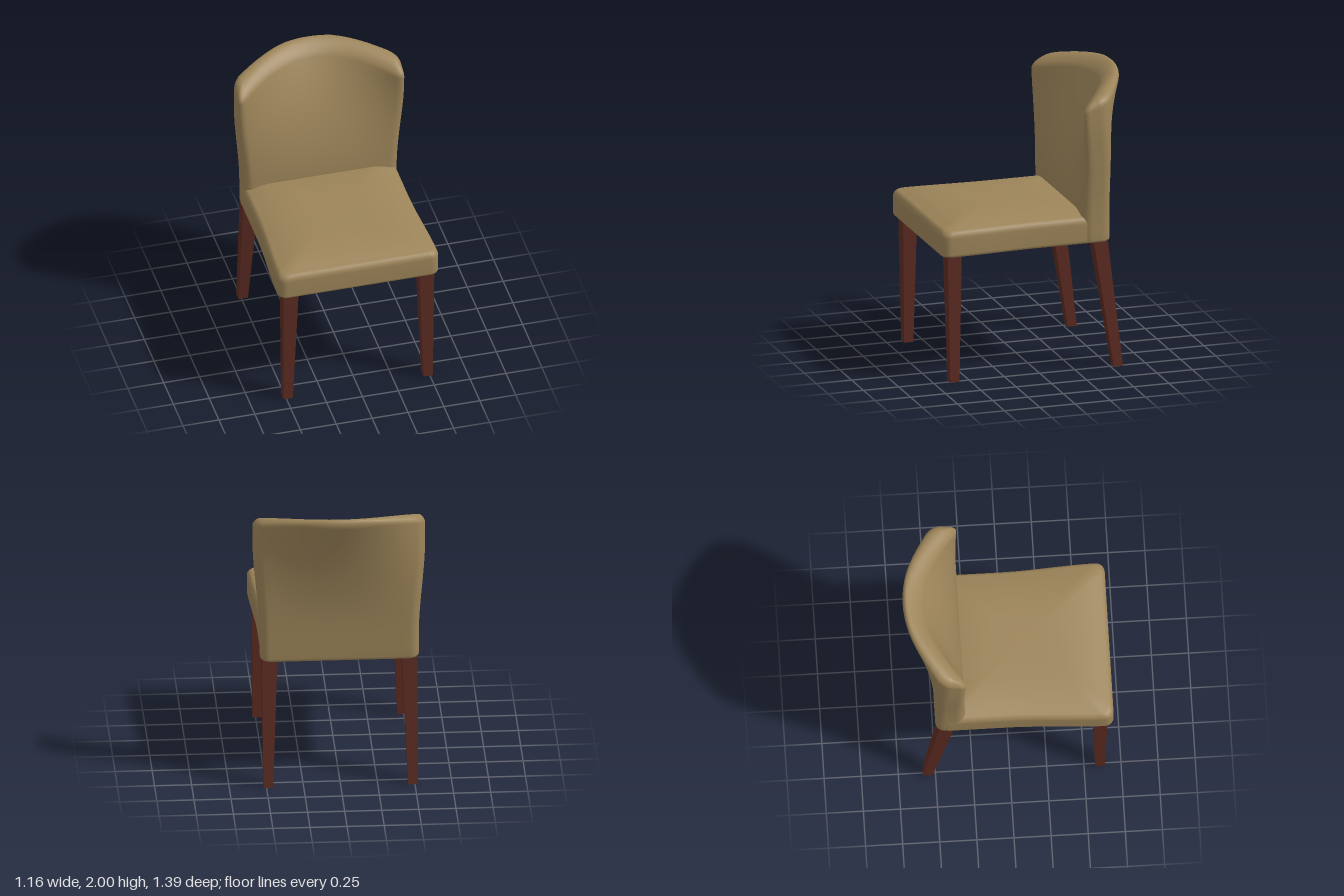
import * as THREE from 'three';
import { mergeVertices } from 'three/addons/utils/BufferGeometryUtils.js';

const fabric = new THREE.MeshStandardMaterial({ color: 0x9c8459 });
fabric.name = 'tan upholstery';
const wood = new THREE.MeshStandardMaterial({ color: 0x5c2b22 });
wood.name = 'dark red wood';

// Rounded rectangle as [x, z] points, starting at the front right corner
function roundRect(hw, hd, radius, sideSteps = 14, arcSteps = 6) {
  const r = Math.min(radius, hw, hd);
  const centres = [[1, 1], [1, -1], [-1, -1], [-1, 1]];
  const corner = (k, f) => {
    const a = (k + f) * Math.PI / 2;
    const [sx, sz] = centres[k % 4];
    return [sx * (hw - r) + r * Math.sin(a), sz * (hd - r) + r * Math.cos(a)];
  };
  const points = [];
  for (let k = 0; k < 4; k++) {
    for (let i = 0; i <= arcSteps; i++) points.push(corner(k, i / arcSteps));
    const a = corner(k, 1), b = corner(k + 1, 0);
    for (let i = 1; i < sideSteps; i++) {
      const f = i / sideSteps;
      points.push([a[0] + (b[0] - a[0]) * f, a[1] + (b[1] - a[1]) * f]);
    }
  }
  return points;
}

// Skin over closed rings of [x, y, z] points, stacked upwards
function loft(rings) {
  const n = rings[0].length, index = [];
  for (let j = 0; j < rings.length - 1; j++) {
    for (let i = 0; i < n; i++) {
      const a = j * n + i, b = j * n + (i + 1) % n;
      index.push(a, b, b + n, a, b + n, a + n);
    }
  }
  const geometry = new THREE.BufferGeometry();
  geometry.setAttribute('position', new THREE.Float32BufferAttribute(rings.flat(2), 3));
  geometry.setIndex(index);
  const merged = mergeVertices(geometry, 1e-4);
  merged.computeVertexNormals();
  return merged;
}

// Seat cushion: flat underside, rounded rim, crowned top
function seatGeometry() {
  const rows = []; // [height, inset, scale]
  for (const s of [0, 0.5, 0.97]) rows.push([0.885, 0.015, s]);
  rows.push([0.886, 0.01, 1], [0.892, 0.003, 1], [0.905, 0, 1], [0.98, 0, 1]);
  for (let i = 0; i <= 6; i++) {
    const a = i / 6 * Math.PI / 2;
    rows.push([1.02 + 0.05 * Math.sin(a), 0.04 * (1 - Math.cos(a)), 1]);
  }
  for (const s of [0.95, 0.88, 0.78, 0.65, 0.5, 0.3, 0]) rows.push([1.07, 0.04, s]);
  return loft(rows.map(([y, inset, s]) =>
    roundRect(0.56 - inset, 0.585 - inset, 0.06).map(([x, z]) => {
      const px = x * s, pz = z * s + 0.115;
      const waist = 0.95 + 0.05 * THREE.MathUtils.smoothstep(pz, 0, 0.65);
      const crown = y > 1.065 ? 0.05 * (1 - s ** 4) : 0;
      return [px * waist - 0.005, y + crown, pz];
    })));
}

// Backrest: straight slab at the seat, flaring into a curved, raked shell
function backGeometry() {
  const rows = [[0, 0.02, 0], [0, 0.02, 0.9], [0.006, 0.005, 0.97]]; // [v, inset, thickness]
  for (let i = 0; i <= 18; i++) rows.push([0.02 + 0.92 * i / 18, 0, 1]);
  for (let i = 1; i <= 8; i++) {
    const a = i / 8 * Math.PI / 2;
    rows.push([0.94 + 0.06 * Math.sin(a), 0.055 * (1 - Math.cos(a)), Math.cos(a)]);
  }
  return loft(rows.map(([v, inset, thick]) => {
    const width = 0.535 + 0.045 * THREE.MathUtils.smoothstep(v, 0.15, 0.85) - inset;
    return roundRect(width, 0.1, 0.06, 24).map(([x, d]) => {
      const t = (d / 0.1 * thick + 1) / 2;
      const e = (x / 0.55) ** 2;
      const front = -0.59 + 0.305 * e, back = -0.70 + 0.22 * e;
      const topZ = back + (front - back) * t;
      const topY = 2 - 0.36 * Math.max(0, topZ + 0.655);
      const y = 0.885 + v * (topY - 0.885);
      const flare = Math.max(0, (y - 1.1) / 0.87) ** 1.8;
      const z = (-0.5 + 0.2 * t) * (1 - flare) + topZ * flare;
      return [x, y, z];
    });
  }));
}

// Tapered square leg between a top and a bottom rectangle [x0, x1, z0, z1]
function legGeometry(top, bottom) {
  const geometry = new THREE.BoxGeometry(1, 1, 1);
  const p = geometry.attributes.position;
  for (let i = 0; i < p.count; i++) {
    const up = p.getY(i) > 0, r = up ? top : bottom;
    p.setXYZ(i, r[p.getX(i) > 0 ? 1 : 0], up ? 0.9 : 0, r[p.getZ(i) > 0 ? 3 : 2]);
  }
  const flat = geometry.toNonIndexed();
  flat.computeVertexNormals();
  return flat;
}

export function createModel() {
  const chair = new THREE.Group();
  chair.name = 'diningChair';
  const add = (name, geometry, material) => {
    const mesh = new THREE.Mesh(geometry, material);
    mesh.name = name;
    chair.add(mesh);
  };
  add('seat', seatGeometry(), fabric);
  add('backrest', backGeometry(), fabric);

  // Legs, mirrored left and right
  const mirror = ([x0, x1, z0, z1], side) => side > 0 ? [x0, x1, z0, z1] : [-x1, -x0, z0, z1];
  for (const [side, label] of [[1, 'Left'], [-1, 'Right']]) {
    add('frontLeg' + label, legGeometry(
      mirror([0.42, 0.525, 0.56, 0.66], side), mirror([0.455, 0.52, 0.575, 0.64], side)), wood);
    add('backLeg' + label, legGeometry(
      mirror([0.42, 0.525, -0.475, -0.375], side), mirror([0.455, 0.52, -0.585, -0.52], side)), wood);
  }
  return chair;
}
